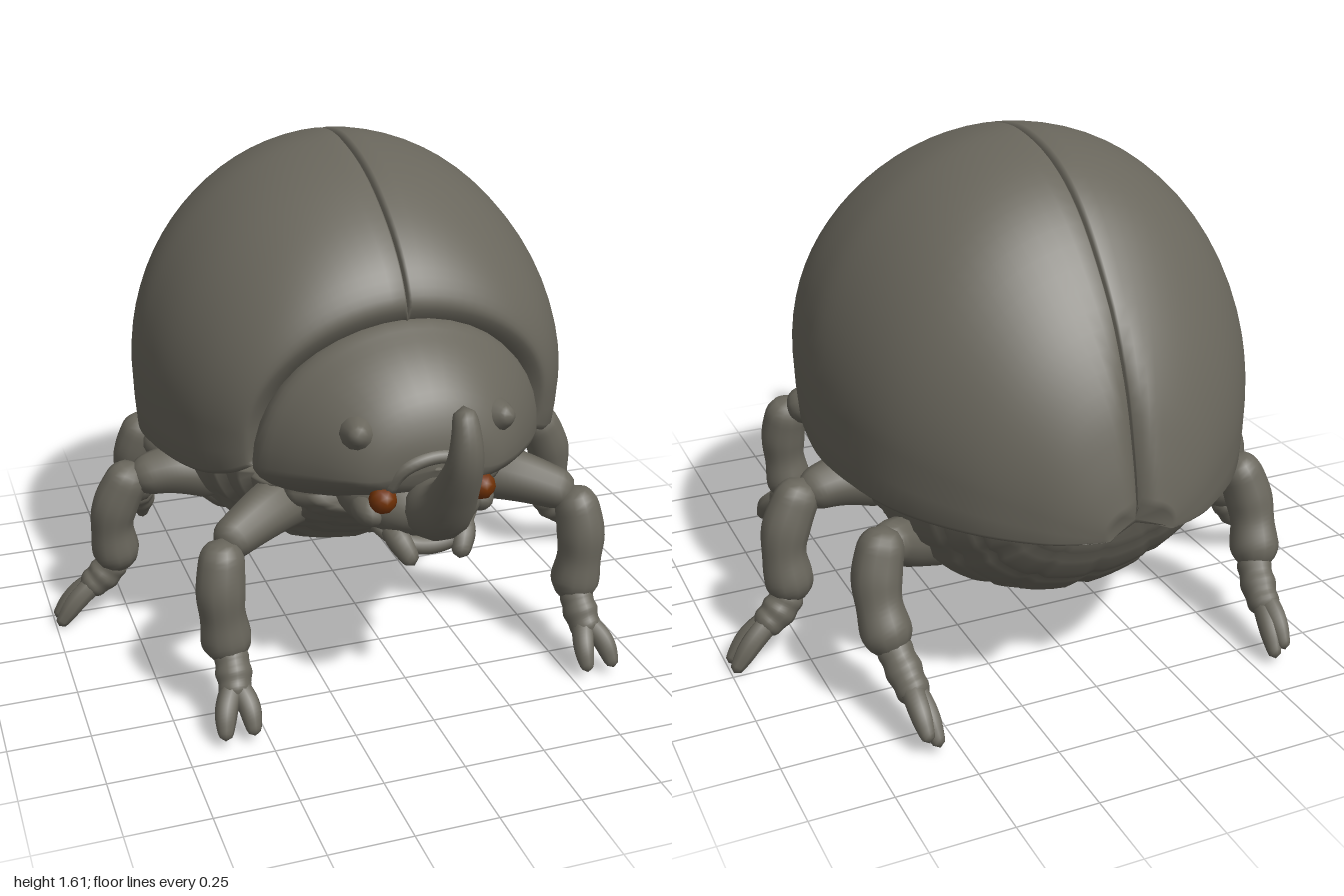
import * as THREE from 'three';
import { mergeVertices } from 'three/addons/utils/BufferGeometryUtils.js';

const shell = new THREE.MeshStandardMaterial({ color: 0x69665c });
shell.name = 'shellGrey';
const amber = new THREE.MeshStandardMaterial({ color: 0x6e3004 });
amber.name = 'eyeAmber';

// Smooth Catmull-Rom lookup in a table of rows, t in 0..1
function sample(table, t) {
  const f = t * (table.length - 1), i = Math.min(Math.floor(f), table.length - 2), u = f - i;
  const row = k => table[Math.max(0, Math.min(table.length - 1, k))];
  return table[0].map((_, c) => {
    const [a, b, d, e] = [row(i - 1)[c], row(i)[c], row(i + 1)[c], row(i + 2)[c]];
    return b + 0.5 * u * (d - a + u * (2 * a - 5 * b + 4 * d - e + u * (3 * (b - d) + e - a)));
  });
}

// Surface through cross-sections that run front to back
function loft(rows) {
  const n = rows[0].length, index = [];
  for (let i = 0; i < rows.length - 1; i++) for (let j = 0; j < n - 1; j++) {
    const a = i * n + j;
    index.push(a, a + 1, a + n, a + 1, a + n + 1, a + n);
  }
  const g = new THREE.BufferGeometry();
  g.setAttribute('position', new THREE.Float32BufferAttribute(rows.flat(2), 3));
  g.setIndex(index);
  const m = mergeVertices(g, 1e-5);
  m.computeVertexNormals();
  return m;
}

function mirrorX(geo) {
  const g = geo.clone(), p = g.attributes.position, ix = g.index.array;
  for (let i = 0; i < p.count; i++) p.setX(i, -p.getX(i));
  for (let i = 0; i < ix.length; i += 3) [ix[i], ix[i + 1]] = [ix[i + 1], ix[i]];
  g.computeVertexNormals();
  return g;
}

// Tapered limb with rounded ends
function limb(points, radii, segs = 24, sides = 12) {
  const curve = new THREE.CatmullRomCurve3(points.map(p => new THREE.Vector3(...p)));
  const g = new THREE.TubeGeometry(curve, segs, 1, sides), p = g.attributes.position;
  const len = curve.getLength(), v = new THREE.Vector3();
  for (let i = 0; i <= segs; i++) {
    const t = i / segs, c = curve.getPointAt(t), d = Math.min(t, 1 - t) * len;
    let r = sample(radii.map(x => [x]), t)[0];
    if (d < r) r *= Math.sqrt(Math.max(0, 1 - (1 - d / r) ** 2));
    for (let j = 0; j <= sides; j++) {
      const k = i * (sides + 1) + j;
      v.fromBufferAttribute(p, k).sub(c).multiplyScalar(r).add(c);
      p.setXYZ(k, v.x, v.y, v.z);
    }
  }
  g.deleteAttribute('uv');
  g.deleteAttribute('normal');
  const m = mergeVertices(g, 1e-5);
  m.computeVertexNormals();
  return m;
}

function ball(pos, scale, detail = 20) {
  return new THREE.SphereGeometry(1, detail, Math.ceil(detail * 0.7)).scale(...scale).translate(...pos);
}

export function createModel() {
  const model = new THREE.Group();
  model.name = 'hornedBeetle';
  const add = (name, geo, parent = model, mat = shell) => {
    const m = new THREE.Mesh(geo, mat);
    m.name = name;
    parent.add(m);
  };

  // Wing cases: z at top, z at hem, top y, hem y, half width
  const wing = [
    [0.42, 0.34, 1.14, 0.82, 0.38], [0.475, 0.38, 1.21, 0.78, 0.45], [0.485, 0.385, 1.27, 0.76, 0.49],
    [0.42, 0.34, 1.37, 0.73, 0.545], [0.3, 0.24, 1.47, 0.70, 0.605], [0.13, 0.09, 1.56, 0.68, 0.655],
    [-0.05, -0.06, 1.61, 0.665, 0.68], [-0.22, -0.22, 1.62, 0.65, 0.685], [-0.42, -0.42, 1.575, 0.64, 0.645],
    [-0.6, -0.6, 1.46, 0.635, 0.57], [-0.78, -0.78, 1.25, 0.635, 0.435], [-0.9, -0.9, 1.05, 0.635, 0.29],
    [-0.96, -0.955, 0.87, 0.64, 0.19], [-0.99, -0.985, 0.73, 0.645, 0.1]];
  const wingRows = [];
  for (let i = 0; i <= 56; i++) {
    const [zT, zB, yT, yB, w] = sample(wing, i / 56), h = yT - yB, cy = yB + 0.24 * h, arc = [];
    // rounded inner edge makes the seam groove
    arc.push([0, yT - Math.min(0.035, 0.3 * h)], [0.004, yT - Math.min(0.014, 0.15 * h)]);
    for (let k = 0; k <= 18; k++) {
      const a = 0.025 + (Math.PI / 2 - 0.025) * k / 18;
      arc.push([w * Math.sin(a) ** 1.03, cy + (yT - cy) * Math.cos(a)]);
    }
    arc.push([w * 0.995, (cy + yB) / 2], [w * 0.985, yB + 0.1 * (cy - yB)], [w * 0.95, yB],
      [w * 0.85, yB + Math.min(0.02, 0.15 * h)], [0, yB + Math.min(0.06, 0.3 * h)]);
    // back edges round in towards the seam
    const back = THREE.MathUtils.smoothstep(-zT, 0.75, 0.97);
    const notch = x => 0.035 * back * Math.max(0, 1 - x / 0.06) ** 2;
    wingRows.push(arc.map(([x, y]) => [x, y, zB + (zT - zB) * (y - yB) / h + notch(x)]));
  }
  wingRows.push(wingRows[0].map(() => [0, 0.68, -0.95]));
  const wingGeo = loft(wingRows);
  add('leftWingCase', wingGeo);
  add('rightWingCase', mirrorX(wingGeo));

  // Belly with stepped plates: z, bottom y, half width
  const belly = [[0.5, 0.6, 0.28], [0.4, 0.52, 0.4], [0.25, 0.42, 0.47], [0.1, 0.32, 0.53], [-0.1, 0.245, 0.56],
    [-0.3, 0.22, 0.555], [-0.5, 0.24, 0.51], [-0.65, 0.32, 0.43], [-0.76, 0.45, 0.33], [-0.82, 0.6, 0.19]];
  const bellyRows = [], plates = 11, per = 6;
  for (let i = 0; i <= plates * per; i++) {
    const [z, yB, w] = sample(belly, i / (plates * per)), f = (i % per) / per;
    const step = f === 0 ? 0.94 : 1.01 - 0.03 * f;
    const ring = [];
    for (let k = 0; k <= 72; k++) {
      const a = Math.PI * 2 * k / 72, c = Math.cos(a), crease = [24, 30, 36, 42, 48].includes(k) ? 0.97 : 1;
      ring.push([w * Math.sin(a) * step * crease, 0.68 + (c > 0 ? 0.05 * c : (0.68 - yB) * c * step * crease),
        z - 0.04 * (1 - Math.abs(c))]);
    }
    bellyRows.push(ring);
  }
  bellyRows.unshift(bellyRows[0].map(() => [0, 0.68, 0.5]));
  bellyRows.push(bellyRows[0].map(() => [0, 0.67, -0.86]));
  add('belly', loft(bellyRows));

  // Neck shield: z, top y, hem y, half width
  const shield = [[0.32, 1.14, 0.6, 0.42], [0.45, 1.205, 0.615, 0.455], [0.53, 1.175, 0.645, 0.415], [0.62, 1.115, 0.69, 0.34],
    [0.695, 1.035, 0.735, 0.26], [0.735, 0.94, 0.775, 0.17], [0.745, 0.85, 0.84, 0.01]];
  const shieldRows = [];
  for (let i = 0; i <= 24; i++) {
    const [z, yT, yB, w] = sample(shield, i / 24), cy = yB + 0.28 * (yT - yB), ring = [];
    for (let k = 0; k <= 40; k++) {
      const a = Math.PI * 2 * k / 40, c = Math.cos(a);
      ring.push([w * Math.sin(a), cy + (c > 0 ? yT - cy : cy - yB) * c, z - 0.05 * (1 - c) * (1 - i / 24)]);
    }
    shieldRows.unshift(ring);
  }
  add('neckShield', loft(shieldRows));

  // Head and horn
  add('head', ball([0, 0.7, 0.51], [0.23, 0.135, 0.25], 28));
  add('horn', limb([[0, 0.69, 0.65], [0, 0.75, 0.8], [0, 0.85, 0.885], [0, 0.96, 0.94], [0, 1.04, 0.938], [0, 1.105, 0.91]],
    [0.1, 0.095, 0.072, 0.058, 0.046, 0.032], 30, 14));
  add('browRidge', limb([[-0.14, 0.77, 0.7], [-0.1, 0.85, 0.73], [0, 0.88, 0.735], [0.1, 0.85, 0.73], [0.14, 0.77, 0.7]],
    [0.02, 0.022, 0.022, 0.02], 24, 8));
  add('lowerLip', limb([[-0.16, 0.65, 0.62], [-0.08, 0.6, 0.69], [0, 0.585, 0.7], [0.08, 0.6, 0.69], [0.16, 0.65, 0.62]],
    [0.025, 0.03, 0.03, 0.025], 24, 8));

  // Legs: joint paths for the left side, foot tip and claw spread
  const legs = {
    front: { femur: [[0.22, 0.6, 0.22], [0.4, 0.6, 0.36], [0.58, 0.55, 0.47]],
      tibia: [[0.57, 0.585, 0.47], [0.59, 0.42, 0.505], [0.57, 0.19, 0.5]],
      foot: [[0.57, 0.25, 0.51], [0.575, 0.16, 0.58], [0.585, 0.11, 0.62]], tip: [0.59, 0.035, 0.695], spread: [0.045, 0, 0] },
    middle: { femur: [[0.4, 0.52, -0.12], [0.58, 0.55, -0.13], [0.73, 0.53, -0.14]],
      tibia: [[0.71, 0.585, -0.14], [0.79, 0.4, -0.16], [0.775, 0.19, -0.18]],
      foot: [[0.77, 0.24, -0.18], [0.84, 0.16, -0.19], [0.9, 0.12, -0.195]], tip: [0.992, 0.01, -0.2], spread: [0, 0, 0.03] },
    rear: { femur: [[0.3, 0.36, -0.26], [0.47, 0.45, -0.41], [0.6, 0.53, -0.53]],
      tibia: [[0.59, 0.585, -0.53], [0.635, 0.42, -0.57], [0.62, 0.22, -0.65]],
      foot: [[0.62, 0.27, -0.62], [0.6, 0.18, -0.71], [0.59, 0.13, -0.78]], tip: [0.58, 0.045, -0.875], spread: [0.016, 0.012, 0] },
  };
  for (const [side, s] of [['left', 1], ['right', -1]]) {
    const flip = p => [p[0] * s, p[1], p[2]];
    for (const [name, leg] of Object.entries(legs)) {
      const g = new THREE.Group();
      g.name = `${side}${name[0].toUpperCase()}${name.slice(1)}Leg`;
      model.add(g);
      add('femur', limb(leg.femur.map(flip), [0.1, 0.085, 0.062]), g);
      add('tibia', limb(leg.tibia.map(flip), [0.066, 0.072, 0.076, 0.07, 0.078, 0.07]), g);
      add('foot', limb(leg.foot.map(flip), [0.06, 0.058, 0.052, 0.057, 0.05, 0.052, 0.046]), g);
      for (const k of [-1, 1]) {
        const tip = leg.tip.map((v, i) => v + k * leg.spread[i]), root = leg.foot[1];
        const mid = tip.map((v, i) => v * 0.55 + root[i] * 0.45 + k * leg.spread[i] * 0.2 + (i === 1 ? 0.018 : 0));
        add('claw', limb([root, mid, tip].map(flip), [0.036, 0.036, 0.032, 0.02], 18, 8), g);
      }
    }
    // Eyes, shield knobs and mouth feelers
    add(`${side}Eye`, new THREE.IcosahedronGeometry(0.042, 1).translate(s * 0.153, 0.752, 0.703), model, amber);
    add(`${side}Knob`, limb([[s * 0.17, 0.91, 0.54], [s * 0.235, 0.968, 0.722]], [0.09, 0.08, 0.055, 0.022], 18, 12));
    add(`${side}Feeler`, limb([[s * 0.12, 0.65, 0.62], [s * 0.1, 0.61, 0.7], [s * 0.07, 0.55, 0.75]], [0.03, 0.038, 0.026], 14, 8));
    add(`${side}CheekPlate`, ball([s * 0.17, 0.69, 0.62], [0.05, 0.05, 0.08], 14));
  }
  return model;
}
